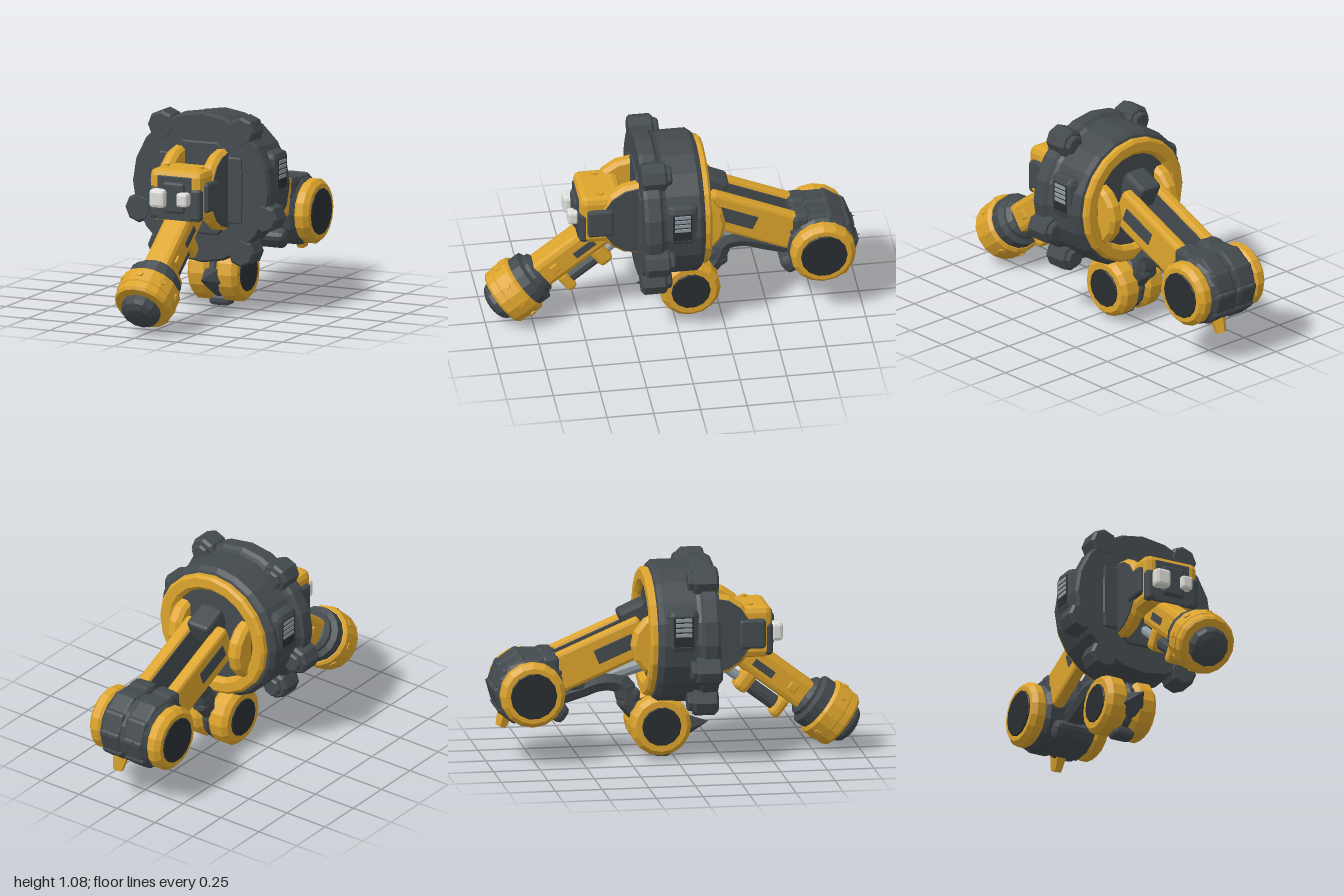
import * as THREE from 'three';
import { RoundedBoxGeometry } from 'three/addons/geometries/RoundedBoxGeometry.js';

const mat = (name, color) => new THREE.MeshStandardMaterial({ name, color, flatShading: true });
const yellow = mat('yellow paint', 0xdca42c);
const dark = mat('dark metal', 0x434a4e);
const black = mat('black cap', 0x2a2e31);
const grey = mat('steel', 0x8f9aa0);
const white = mat('lamp white', 0xdededa);

function add(parent, name, geo, material, x = 0, y = 0, z = 0) {
  const m = new THREE.Mesh(geo, material);
  m.name = name;
  m.position.set(x, y, z);
  parent.add(m);
  return m;
}

function group(parent, name, y, z, tilt = 0) {
  const g = new THREE.Group();
  g.name = name;
  g.position.set(0, y, z);
  g.rotation.x = THREE.MathUtils.degToRad(tilt);
  parent.add(g);
  return g;
}

// chamfered box
const box = (w, h, d, r = 0.015) => new RoundedBoxGeometry(w, h, d, 1, Math.min(r, w / 2.1, h / 2.1, d / 2.1));

// turned part from [radius, distance] pairs, along the z or x axis
function turned(profile, sides, axis = 'z') {
  const g = new THREE.LatheGeometry(profile.map(([r, d]) => new THREE.Vector2(r, d)), sides);
  if (axis === 'z') g.rotateX(Math.PI / 2);
  else g.rotateZ(-Math.PI / 2);
  return g;
}

// solid disc with bevelled rims, centred on its own middle
const disc = (r, w, sides, axis, b = 0.02) => turned(
  [[0, -w / 2], [r - b, -w / 2], [r, -w / 2 + b], [r, w / 2 - b], [r - b, w / 2], [0, w / 2]], sides, axis);

function spike(parent, name, material, geo, x, y, z, dir) {
  const m = add(parent, name, geo, material, x, y, z);
  m.quaternion.setFromUnitVectors(new THREE.Vector3(0, 1, 0), new THREE.Vector3(...dir).normalize());
}

function buildBody(root) {
  const body = group(root, 'body', 0.68, 0);
  add(body, 'drum', turned([[0, -0.135], [0.33, -0.135], [0.36, -0.125], [0.38, -0.1], [0.38, 0.08],
    [0.39, 0.1], [0.407, 0.115], [0.407, 0.18], [0.395, 0.2], [0, 0.2]], 20), dark);
  add(body, 'rearRing', turned([[0.255, -0.13], [0.26, -0.15], [0.28, -0.168], [0.33, -0.168],
    [0.345, -0.155], [0.345, -0.11]], 20), yellow);

  // front backing plates
  add(body, 'octagonPlate', disc(0.27, 0.02, 8, 'z', 0.008), dark, 0, 0, 0.2).rotation.z = Math.PI / 8;
  add(body, 'widePlate', box(0.49, 0.36, 0.02, 0.01), dark, 0, 0, 0.2);

  for (const s of [-1, 1]) {
    // lugs round the flange
    for (const [x, y] of [[0.235, 0.315], [0.367, -0.142], [0.235, -0.335]]) {
      add(body, 'lug', disc(0.08, 0.135, 8, 'z', 0.014), dark, s * x, y, 0.135);
      add(body, 'lugFoot', disc(0.055, 0.04, 8, 'z', 0.01), dark, s * x, y, 0.06);
    }
    // side vent
    add(body, 'ventFrame', box(0.1, 0.24, 0.17, 0.035), dark, s * 0.335, 0.075, 0);
    add(body, 'ventRecess', box(0.008, 0.16, 0.105, 0.002), black, s * 0.383, 0.075, 0);
    for (let i = 0; i < 4; i++)
      add(body, 'ventSlat', box(0.012, 0.021, 0.088, 0.003), grey, s * 0.384, 0.058 + i * 0.027, 0);
    // rear half-round pods
    add(body, 'rearPod', disc(0.18, 0.08, 14, 'x'), yellow, s * 0.2, -0.03, -0.075);
  }
  add(body, 'rearBlock', box(0.14, 0.15, 0.16, 0.02), dark, 0, 0.08, -0.2).rotation.x = -0.42;
}

function buildHead(root) {
  const head = group(root, 'head', 0.68, 0);
  for (const s of [-1, 1]) {
    add(head, 'cheek', disc(0.22, 0.075, 16, 'x'), yellow, s * 0.123, 0, 0.2);
    add(head, 'cheekFace', disc(0.2, 0.008, 16, 'x', 0.002), dark, s * 0.163, 0, 0.2);
    add(head, 'sideBlock', box(0.05, 0.16, 0.14, 0.015), dark, s * 0.155, 0, 0.405);
    add(head, 'topBolt', new THREE.CylinderGeometry(0.018, 0.018, 0.012, 8), yellow, s * 0.1, 0.148, 0.4);
  }
  add(head, 'headShell', box(0.31, 0.28, 0.235, 0.035), yellow, 0, 0.005, 0.395);
  add(head, 'facePanel', box(0.2, 0.235, 0.01, 0.003), dark, 0, -0.005, 0.514);
  add(head, 'faceBand', box(0.305, 0.18, 0.11, 0.02), dark, 0, -0.035, 0.463);
  add(head, 'nose', box(0.13, 0.17, 0.04, 0.015), dark, 0, 0, 0.518);
  add(head, 'largeLamp', box(0.09, 0.1, 0.065, 0.018), white, -0.08, -0.005, 0.543);
  add(head, 'smallLamp', box(0.065, 0.075, 0.06, 0.014), white, 0.065, -0.003, 0.541);
}

function buildFrontArm(root) {
  const arm = group(root, 'frontArm', 0.196, 0.85, 37.5);
  add(arm, 'beam', box(0.15, 0.16, 0.5, 0.03), yellow, 0, 0, -0.39);
  for (const s of [-1, 1]) {
    add(arm, 'beamInlay', box(0.008, 0.04, 0.13, 0.002), dark, s * 0.075, -0.01, -0.46);
    add(arm, 'beamBolt', box(0.02, 0.05, 0.05, 0.006), yellow, s * 0.076, 0, -0.27);
  }
  // piston under the beam
  add(arm, 'pistonSleeve', disc(0.04, 0.24, 10, 'z', 0.01), dark, 0, -0.13, -0.36);
  add(arm, 'pistonRod', disc(0.026, 0.28, 10, 'z', 0.005), grey, 0, -0.13, -0.58);
  add(arm, 'pistonLowerMount', box(0.11, 0.12, 0.06, 0.02), yellow, 0, -0.13, -0.255);
  add(arm, 'pistonUpperMount', box(0.12, 0.13, 0.085, 0.025), yellow, 0, -0.12, -0.49);

  // drum at the end of the beam
  add(arm, 'collar', turned([[0, -0.19], [0.09, -0.19], [0.115, -0.17], [0.115, -0.15], [0.145, -0.135],
    [0.145, -0.06], [0, -0.06]], 16), dark);
  add(arm, 'drumShell', turned([[0.1, -0.08], [0.15, -0.08], [0.165, -0.065], [0.165, 0.015], [0.16, 0.02],
    [0.16, 0.06], [0.148, 0.075], [0.09, 0.075]], 16), yellow);
  add(arm, 'tip', turned([[0.108, 0.06], [0.108, 0.105], [0.095, 0.125], [0.06, 0.142], [0, 0.146]], 12), dark);
  for (let i = 0; i < 8; i++) {
    const a = (i / 8) * Math.PI * 2;
    const bolt = add(arm, 'drumBolt', new THREE.CylinderGeometry(0.018, 0.02, 0.012, 6), yellow,
      Math.sin(a) * 0.163, Math.cos(a) * 0.163, -0.024);
    bolt.rotation.z = -a;
  }
}

// paired wheels on a shared hub, turning about the x axis
function buildJoint(root, name, y, z, hubR, wheelR, wheelW, outer, capR) {
  const joint = group(root, name, y, z);
  add(joint, 'hub', disc(hubR, (outer - wheelW) * 2 + 0.02, 14, 'x', 0.02), dark);
  for (const s of [-1, 1]) {
    add(joint, 'wheel', disc(wheelR, wheelW, 16, 'x', 0.025), yellow, s * (outer - wheelW / 2), 0, 0);
    add(joint, 'wheelCap', disc(capR, 0.014, 14, 'x', 0.004), black, s * outer, 0, 0);
  }
  return joint;
}

function buildRearArm(root) {
  const arm = group(root, 'rearArm', 0.56, -0.465, -23);
  for (const s of [-1, 1]) {
    add(arm, 'beam', box(0.07, 0.21, 0.66, 0.02), yellow, s * 0.095, 0, 0);
    add(arm, 'beamSlot', box(0.008, 0.08, 0.22, 0.003), dark, s * 0.129, 0, 0.15);
    add(arm, 'beamLining', box(0.008, 0.17, 0.62, 0.003), dark, s * 0.06, 0, 0);
  }

  const rear = buildJoint(root, 'rearJoint', 0.4, -0.78, 0.185, 0.175, 0.09, 0.232, 0.125);
  for (const s of [-1, 1]) {
    // plated shell segments around the hub
    for (let i = 0; i < 6; i++) {
      const a = -0.75 + i * 0.62;
      const seg = add(rear, 'shellPlate', box(0.13, 0.05, 0.13, 0.02), dark,
        s * 0.073, Math.cos(a) * 0.167, -Math.sin(a) * 0.167);
      seg.rotation.x = -a - 0.12;
    }
    spike(rear, 'shellSpike', dark, new THREE.ConeGeometry(0.03, 0.09, 5), s * 0.09, 0.02, -0.17, [0, 0.2, -1]);
    add(rear, 'forkRoot', box(0.13, 0.22, 0.11, 0.03), dark, s * 0.075, 0.09, 0.105);
  }
  add(rear, 'forkNose', box(0.12, 0.1, 0.18, 0.02), dark, 0, 0.03, 0.215);
  spike(rear, 'claw', yellow, new THREE.CylinderGeometry(0.03, 0.055, 0.12, 5), 0.06, -0.165, -0.11, [0, -1, -0.35]);
  add(rear, 'underBlock', box(0.22, 0.1, 0.15, 0.03), dark, 0, -0.11, 0.135).rotation.x = 0.6;

  const lower = buildJoint(root, 'lowerJoint', 0.19, -0.08, 0.15, 0.163, 0.125, 0.145, 0.105);
  spike(lower, 'frontSpur', dark, new THREE.ConeGeometry(0.08, 0.16, 5), 0, -0.02, 0.195, [0, 0.1, 1]);
  add(lower, 'underPad', box(0.12, 0.06, 0.09, 0.02), dark, 0, -0.155, 0.02);
  add(lower, 'hanger', box(0.18, 0.2, 0.14, 0.03), dark, 0, 0.17, 0.03);

  // curved link between the two joints
  const path = new THREE.CatmullRomCurve3([[0.24, -0.18], [0.31, -0.24], [0.4, -0.27], [0.42, -0.38], [0.385, -0.5],
    [0.35, -0.62], [0.32, -0.72]].map(([y, z]) => new THREE.Vector3(0, y, z)));
  add(root, 'curvedLink', new THREE.TubeGeometry(path, 16, 0.058, 8), dark);
  add(root, 'linkKnuckle', box(0.1, 0.13, 0.1, 0.03), dark, 0, 0.32, -0.235).rotation.x = 0.4;
  const rod = add(root, 'lowerRod', disc(0.04, 0.42, 10, 'z', 0.008), grey, 0, 0.455, -0.32);
  rod.rotation.x = -0.3;
}

export function createModel() {
  const root = new THREE.Group();
  root.name = 'jointedMachine';
  buildBody(root);
  buildHead(root);
  buildFrontArm(root);
  buildRearArm(root);
  return root;
}
